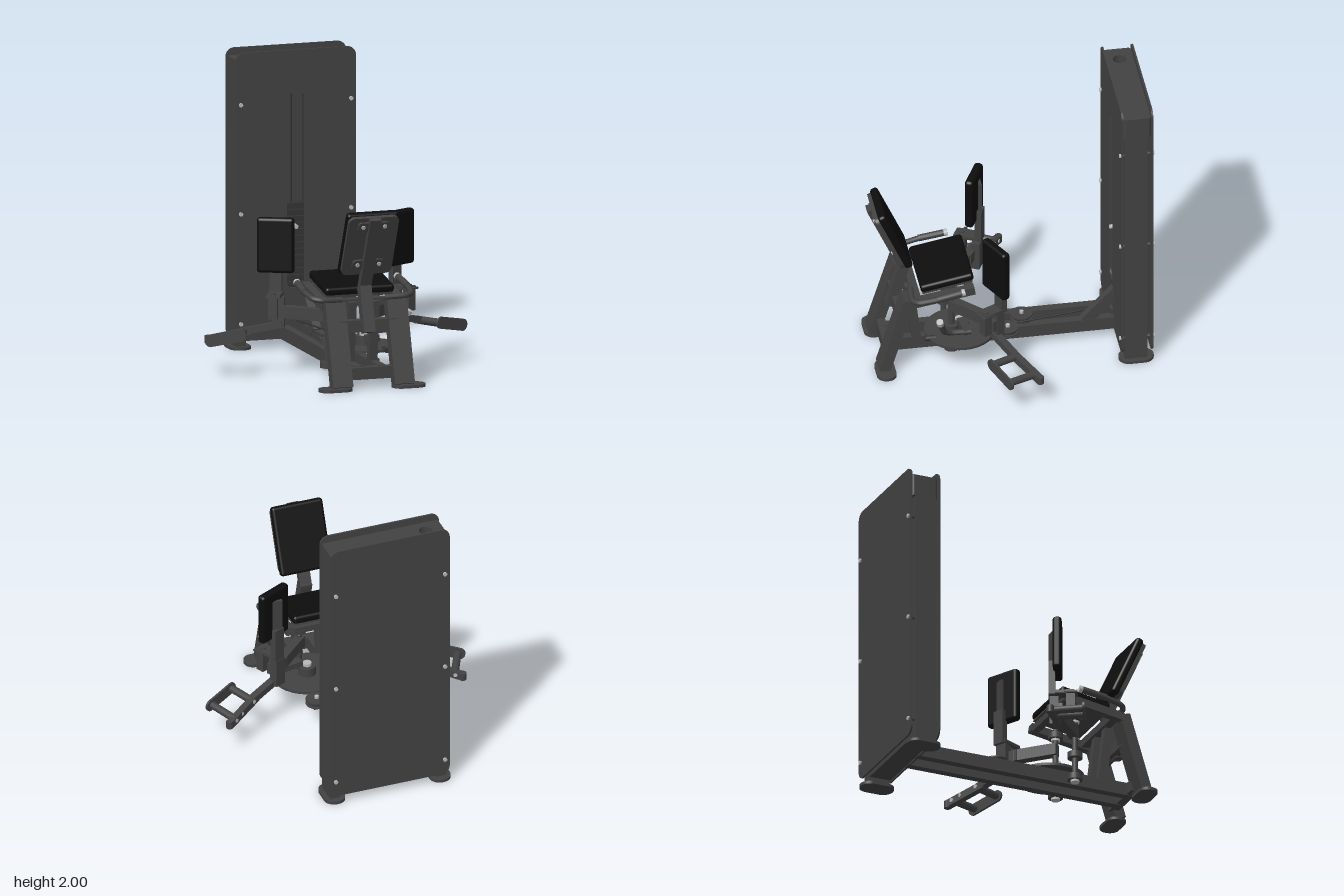
import * as THREE from 'three';
import { RoundedBoxGeometry } from 'three/addons/geometries/RoundedBoxGeometry.js';

const paint = (name, color) => {
  const m = new THREE.MeshStandardMaterial({ color });
  m.name = name;
  return m;
};
const V = (x, y, z) => new THREE.Vector3(x, y, z);

function roundRect(w, h, r, x = 0, y = 0, path = new THREE.Shape()) {
  const a = w / 2 - r, b = h / 2 - r;
  path.absarc(x + a, y + b, r, 0, Math.PI / 2);
  path.absarc(x - a, y + b, r, Math.PI / 2, Math.PI);
  path.absarc(x - a, y - b, r, Math.PI, Math.PI * 1.5);
  path.absarc(x + a, y - b, r, Math.PI * 1.5, Math.PI * 2);
  path.closePath();
  return path;
}

export function createModel() {
  const root = new THREE.Group();
  const frame = paint('frameGrey', 0x424242);
  const vinyl = paint('blackVinyl', 0x0d0d0d);
  const steel = paint('brightSteel', 0xb8b8b8);
  const iron = paint('darkIron', 0x333333);

  const add = (name, geo, mat, x = 0, y = 0, z = 0) => {
    const m = new THREE.Mesh(geo, mat);
    m.name = name;
    m.position.set(x, y, z);
    root.add(m);
    return m;
  };
  const box = (name, w, h, d, x, y, z, mat = frame) => add(name, new THREE.BoxGeometry(w, h, d), mat, x, y, z);
  const disc = (name, r, h, x, y, z, mat = frame) => add(name, new THREE.CylinderGeometry(r, r, h, 32), mat, x, y, z);
  // rectangular bar between two points
  const bar = (name, a, b, w, h, mat = frame) => {
    const mid = a.clone().add(b).multiplyScalar(0.5);
    const m = box(name, w, h, a.distanceTo(b), mid.x, mid.y, mid.z, mat);
    m.lookAt(b);
    return m;
  };
  // round rod between two points
  const rod = (name, a, b, r, mat = frame) => {
    const mid = a.clone().add(b).multiplyScalar(0.5);
    const m = add(name, new THREE.CylinderGeometry(r, r, a.distanceTo(b), 14), mat, mid.x, mid.y, mid.z);
    m.quaternion.setFromUnitVectors(V(0, 1, 0), b.clone().sub(a).normalize());
    return m;
  };
  const tube = (name, pts, r, mat = frame) =>
    add(name, new THREE.TubeGeometry(new THREE.CatmullRomCurve3(pts, false, 'catmullrom', 0.3), 32, r, 10), mat);
  const plate = (shape, t) =>
    new THREE.ExtrudeGeometry(shape, { depth: t, bevelEnabled: false, curveSegments: 10 }).translate(0, 0, -t / 2);
  const foot = (name, w, d, x, z) =>
    add(name, plate(roundRect(w, d, Math.min(w, d) * 0.48), 0.02).rotateX(-Math.PI / 2), frame, x, 0.01, z);

  // weight tower: front shroud with slot, back shroud, columns and cap
  const front = roundRect(0.84, 1.94, 0.06);
  front.holes.push(roundRect(0.125, 1.31, 0.04, 0, 0.025, new THREE.Path()));
  add('frontShroud', plate(front, 0.012), frame, 0, 1.03, -0.718);
  add('backShroud', plate(roundRect(0.84, 1.94, 0.06), 0.012), frame, 0, 1.03, -0.918);
  const cap = roundRect(0.82, 0.186, 0.02);
  const hole = new THREE.Path();
  hole.absarc(-0.29, 0, 0.045, 0, Math.PI * 2);
  cap.holes.push(hole);
  add('towerCap', plate(cap, 0.15).rotateX(-Math.PI / 2), frame, 0, 1.875, -0.818);
  box('towerBase', 0.66, 0.09, 0.15, 0, 0.105, -0.81);
  for (const s of [-1, 1]) {
    box('towerColumn', 0.07, 1.79, 0.15, s * 0.375, 0.905, -0.81);
    foot('towerFoot', 0.145, 0.235, s * 0.372, -0.815);
    for (const y of [0.175, 0.915, 1.65]) {
      rod('shroudSpacer', V(s * 0.385, y, -0.905), V(s * 0.385, y, -0.72), 0.012);
      for (const z of [-0.706, -0.93])
        rod('shroudBolt', V(s * 0.385, y, z - 0.006), V(s * 0.385, y, z + 0.006), 0.014, steel);
    }
    rod('guideRod', V(s * 0.09, 0.15, -0.81), V(s * 0.09, 1.8, -0.81), 0.012, iron);
  }
  for (let i = 0; i < 18; i++) box('weightPlate', 0.26, 0.038, 0.1, 0, 0.19 + i * 0.044, -0.81, iron);
  rod('stackCable', V(0, 0.95, -0.81), V(0, 1.8, -0.81), 0.006, iron);
  rod('selectorPin', V(0, 0.81, -0.77), V(0, 0.81, -0.7), 0.015, steel);

  // base rails, brace, struts
  for (const s of [-1, 1]) {
    box('baseRail', 0.055, 0.09, 1.54, s * 0.08, 0.105, 0.04);
    bar('seatStrut', V(s * 0.08, 0.14, 0.61), V(s * 0.08, 0.56, 0.66), 0.055, 0.06);
  }
  bar('towerBrace', V(0.077, 0.13, -0.52), V(0.077, 0.355, -0.735), 0.055, 0.075);

  // front legs and crossbars
  for (const s of [-1, 1]) {
    bar('frontLeg', V(s * 0.215, 0.02, 0.855), V(s * 0.215, 0.56, 0.69), 0.14, 0.075);
    foot('frontFoot', 0.23, 0.13, s * 0.255, 0.845);
  }
  bar('legCrossbar', V(-0.2, 0.41, 0.735), V(0.2, 0.41, 0.735), 0.06, 0.08);
  box('lowerCrossbar', 0.36, 0.08, 0.06, 0, 0.105, 0.81);

  // backrest and its mast
  bar('lowerMast', V(0, 0.365, 0.77), V(0, 0.665, 0.685), 0.08, 0.07);
  bar('upperMast', V(0, 0.63, 0.675), V(0, 1.155, 0.91), 0.08, 0.045);
  const tilt = 0.42;
  add('backPad', new RoundedBoxGeometry(0.36, 0.47, 0.055, 3, 0.02), vinyl, 0, 0.975, 0.762).rotation.x = tilt;
  add('backPadShell', plate(roundRect(0.35, 0.45, 0.04), 0.025), frame, 0, 0.96, 0.797).rotation.x = tilt;
  for (const t of [-0.15, 0.15]) {
    const y = 0.96 + t * Math.cos(tilt), z = 0.815 + t * Math.sin(tilt);
    add('padBracket', plate(roundRect(0.22, 0.075, 0.025), 0.02), frame, 0, y, z).rotation.x = tilt;
    for (const s of [-1, 1]) disc('padBolt', 0.014, 0.012, s * 0.075, y, z + 0.013, steel).rotation.x = Math.PI / 2 + tilt;
  }

  // seat, seat frame and side handles
  add('seatPad', new RoundedBoxGeometry(0.48, 0.055, 0.36, 3, 0.02), vinyl, 0, 0.648, 0.427).rotation.x = 0.18;
  box('seatBoard', 0.46, 0.02, 0.34, 0, 0.617, 0.425).rotation.x = 0.18;
  for (const s of [-1, 1]) {
    bar('seatRail', V(s * 0.265, 0.535, 0.68), V(s * 0.265, 0.605, 0.25), 0.055, 0.055);
    tube('sideHandle', [V(s * 0.15, 0.575, 0.66), V(s * 0.29, 0.58, 0.67), V(s * 0.345, 0.59, 0.63),
      V(s * 0.36, 0.615, 0.5), V(s * 0.352, 0.64, 0.36)], 0.019);
    rod('handleGrip', V(s * 0.36, 0.612, 0.52), V(s * 0.352, 0.642, 0.35), 0.023);
    rod('gripEnd', V(s * 0.352, 0.642, 0.35), V(s * 0.35, 0.646, 0.328), 0.024, steel);
  }
  bar('seatRearBar', V(-0.28, 0.55, 0.635), V(0.28, 0.55, 0.635), 0.055, 0.05);
  bar('seatFrontBar', V(-0.28, 0.595, 0.28), V(0.28, 0.595, 0.28), 0.05, 0.045);

  // swinging arms with thigh pads and footrests
  for (const s of [-1, 1]) {
    const P = (x, y, z) => V(s * x, y, z);
    const yaw = s * 0.46;
    rod('pivotShaft', P(0.155, 0.07, 0.385), P(0.155, 0.57, 0.385), 0.02);
    for (const y of [0.09, 0.25, 0.52]) disc('bearing', 0.05, 0.04, s * 0.155, y, 0.385);
    for (const y of [0.065, 0.495]) disc('bearingNut', 0.03, 0.02, s * 0.155, y, 0.385, steel);
    bar('swingArm', P(0.14, 0.42, 0.39), P(0.36, 0.42, 0.18), 0.06, 0.08);
    bar('swingArmEnd', P(0.33, 0.42, 0.2), P(0.45, 0.42, 0.13), 0.06, 0.08);
    box('armUpright', 0.08, 0.2, 0.06, s * 0.405, 0.41, 0.12).rotation.y = yaw;
    box('padPost', 0.08, 0.24, 0.045, s * 0.415, 0.64, 0.1).rotation.y = yaw;
    box('padPostFoot', 0.09, 0.022, 0.16, s * 0.445, 0.538, 0.165).rotation.y = yaw;
    box('adjusterBlock', 0.06, 0.14, 0.06, s * 0.475, 0.455, 0.21).rotation.y = yaw;
    box('adjusterPlate', 0.09, 0.012, 0.09, s * 0.475, 0.535, 0.21).rotation.y = yaw;
    disc('adjusterKnob', 0.02, 0.02, s * 0.475, 0.548, 0.21);
    add('thighPad', new RoundedBoxGeometry(0.25, 0.37, 0.06, 3, 0.022), vinyl, s * 0.43, 0.865, 0.135).rotation.y = yaw;
    bar('thighPadBacking', P(0.43, 0.74, 0.1), P(0.43, 0.98, 0.1), 0.1, 0.02).rotateZ(0);
    // footrest
    bar('footArm', P(0.39, 0.335, 0.15), P(0.62, 0.28, 0.035), 0.05, 0.045);
    bar('footBar', P(0.58, 0.285, 0.055), P(0.82, 0.215, -0.095), 0.045, 0.05);
    disc('footBarEnd', 0.024, 0.05, s * 0.822, 0.215, -0.096);
    rod('footPeg', P(0.62, 0.277, 0.035), P(0.7, 0.285, 0.205), 0.026);
    rod('footPeg', P(0.775, 0.23, -0.07), P(0.865, 0.245, 0.12), 0.026);
    for (const [x, y, z] of [[0.61, 0.28, 0.005], [0.72, 0.25, -0.06], [0.77, 0.23, -0.095]])
      rod('footBolt', P(x, y, z), P(x + 0.008, y, z + 0.02), 0.014, steel);
    const rest = add('footPlate', plate(roundRect(0.28, 0.08, 0.038), 0.015), frame, s * 0.79, 0.265, 0.163);
    rest.rotation.set(0, yaw, -s * 0.2, 'YXZ');
  }

  // cam disc, pulleys and cable
  disc('camDisc', 0.235, 0.018, 0.12, 0.19, 0.325);
  disc('camHub', 0.06, 0.08, 0.12, 0.22, 0.325);
  disc('camHubCap', 0.03, 0.02, 0.12, 0.27, 0.325, steel);
  for (const [x, z] of [[0.03, -0.105], [0.17, 0.01]]) {
    disc('pulleyTop', 0.073, 0.01, x, 0.2, z);
    disc('pulleyCore', 0.058, 0.02, x, 0.185, z, iron);
    disc('pulleyBottom', 0.073, 0.01, x, 0.17, z);
    disc('pulleyBolt', 0.014, 0.02, x, 0.213, z, steel);
    box('pulleyMount', 0.06, 0.03, 0.06, x, 0.15, z);
  }
  tube('cable', [V(0, 0.18, -0.72), V(0.1, 0.185, -0.12), V(0.105, 0.185, 0.02), V(0.2, 0.185, 0.1)], 0.006, iron);
  box('cableGuide', 0.16, 0.04, 0.02, 0, 0.18, -0.702);

  // adjustment lever
  tube('adjustLever', [V(0.3, 0.29, 0.28), V(0.3, 0.295, 0.41), V(0.33, 0.33, 0.465), V(0.375, 0.43, 0.495)], 0.02);
  rod('leverTip', V(0.365, 0.415, 0.493), V(0.378, 0.445, 0.502), 0.024, steel);
  bar('leverMount', V(0.16, 0.29, 0.33), V(0.31, 0.29, 0.3), 0.05, 0.04);
  rod('cableAdjuster', V(0.2, 0.195, 0.5), V(0.2, 0.195, 0.57), 0.018, iron);

  return root;
}
